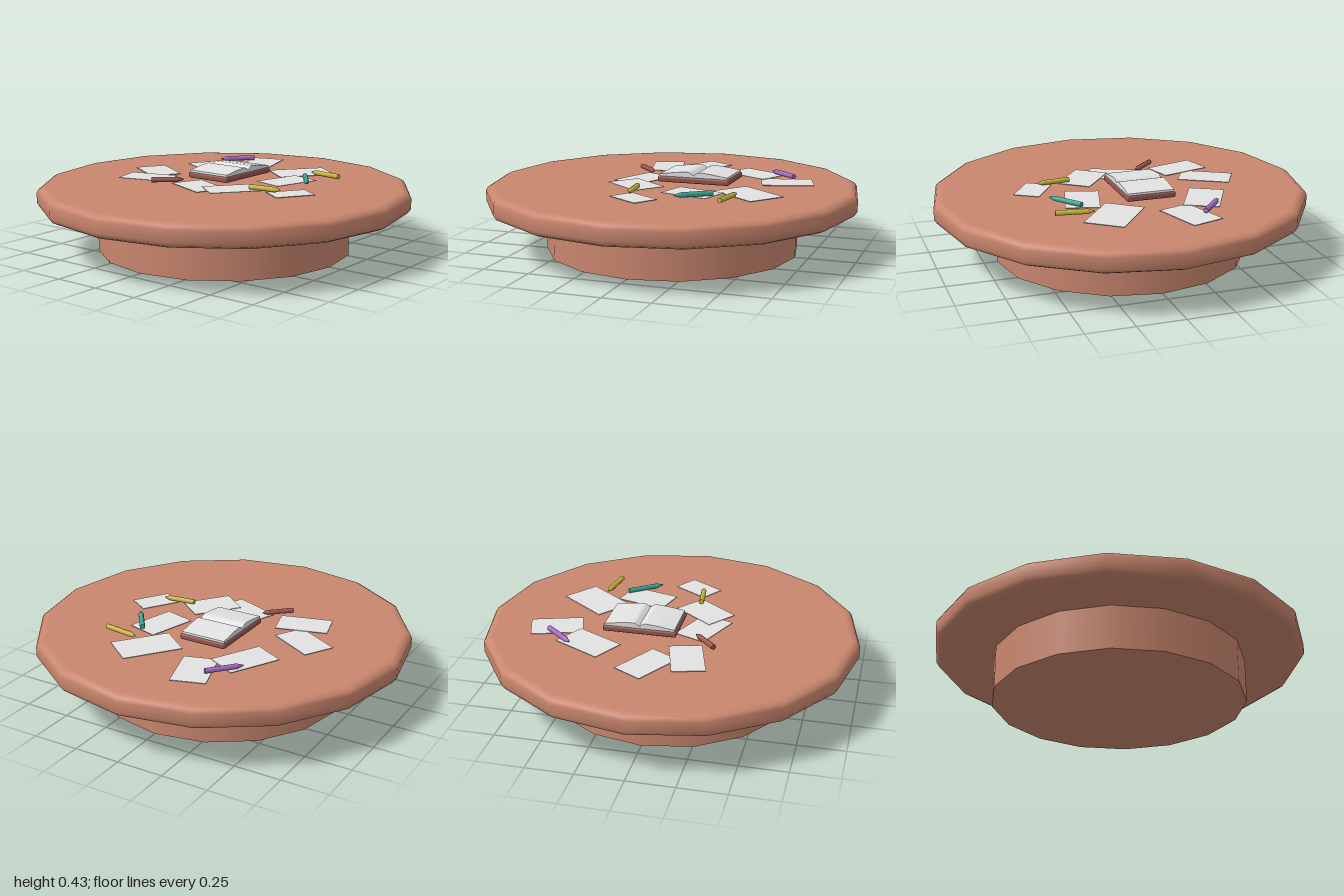
import * as THREE from 'three';
import { RoundedBoxGeometry } from 'three/addons/geometries/RoundedBoxGeometry.js';

const material = (name, color) => Object.assign(new THREE.MeshStandardMaterial({ color }), { name });

export function createModel() {
  const root = new THREE.Group();
  const wood = material('terracotta wood', 0xc9866e);
  const paper = material('paper', 0xe2e2e2);
  const leather = material('book cover', 0x92544f);
  const yellow = material('yellow', 0xc9b53c);
  const purple = material('purple', 0xa56cc4);
  const teal = material('teal', 0x3fa594);
  const red = material('brick red', 0x9c5850);

  const add = (name, geometry, mat, parent = root) => {
    const mesh = new THREE.Mesh(geometry, mat);
    mesh.name = name;
    parent.add(mesh);
    return mesh;
  };

  // Sixteen-sided table top with a rounded rim, on a drum base
  const profile = [
    [0, 0.233], [0.94, 0.233], [0.96, 0.235], [0.985, 0.247], [1, 0.27],
    [1, 0.325], [0.99, 0.343], [0.97, 0.354], [0.95, 0.356], [0, 0.356],
  ].map(([r, y]) => new THREE.Vector2(r, y));
  add('tableTop', new THREE.LatheGeometry(profile, 16), wood);
  add('tableBase', new THREE.CylinderGeometry(0.68, 0.68, 0.235, 16), wood).position.y = 0.1175;

  // Loose sheets: x, z, width, depth, turn
  const sheets = [
    [-0.18, -0.585, 0.18, 0.275, 0.303],
    [-0.34, -0.366, 0.185, 0.285, -0.49],
    [0.18, -0.47, 0.21, 0.315, -0.655],
    [0.267, -0.2, 0.178, 0.27, -0.27],
    [-0.49, -0.02, 0.278, 0.17, -0.52],
    [-0.397, 0.168, 0.278, 0.172, 0.27],
    [-0.03, 0.18, 0.28, 0.178, -0.39],
    [0.16, 0.15, 0.183, 0.267, -0.66],
    [0.465, 0.048, 0.14, 0.212, -0.57],
  ];
  sheets.forEach(([x, z, w, d, turn], i) => {
    const sheet = add('paperSheet', new THREE.BoxGeometry(w, 0.003, d), paper);
    sheet.position.set(x, 0.362 + (i % 2) * 0.004, z);
    sheet.rotation.y = turn;
  });

  // Open book: cover and two domed page halves meeting in a gutter
  const book = new THREE.Group();
  book.name = 'openBook';
  book.position.set(-0.066, 0.37, -0.133);
  root.add(book);
  add('bookCover', new RoundedBoxGeometry(0.265, 0.032, 0.395, 2, 0.01), leather, book).position.y = 0.015;
  const half = [[0.19, 0.028], [0.188, 0.041], [0.1, 0.054], [0.035, 0.06], [0.022, 0.057]];
  const pageShape = new THREE.Shape([
    ...half.map(([s, y]) => new THREE.Vector2(s, y)),
    new THREE.Vector2(0, 0.043),
    ...half.slice().reverse().map(([s, y]) => new THREE.Vector2(-s, y)),
  ]);
  const pages = new THREE.ExtrudeGeometry(pageShape, { depth: 0.25, bevelEnabled: false });
  pages.translate(0, 0, -0.125).rotateY(Math.PI / 2);
  add('bookPages', pages, paper, book);

  // Pencils: blunt end x, z, then point x, z
  const pencilProfile = [[0, 0], [0.014, 0], [0.014, 0], [0.014, 0.165], [0.014, 0.165], [0.003, 0.2], [0, 0.2]]
    .map(([r, y]) => new THREE.Vector2(r, y));
  const pencilShape = new THREE.LatheGeometry(pencilProfile, 8).rotateZ(-Math.PI / 2);
  const pencils = [
    [purple, -0.25, -0.605, -0.38, -0.455],
    [yellow, 0.467, -0.405, 0.272, -0.435],
    [teal, 0.305, -0.32, 0.428, -0.155],
    [yellow, 0.25, 0.107, 0.428, 0.087],
    [red, -0.275, 0.28, -0.15, 0.163],
  ];
  for (const [mat, x0, z0, x1, z1] of pencils) {
    const pencil = add('pencil', pencilShape, mat);
    pencil.position.set(x0, 0.381, z0);
    pencil.rotation.y = Math.atan2(z0 - z1, x1 - x0);
    pencil.scale.x = Math.hypot(x1 - x0, z1 - z0) / 0.2;
  }

  return root;
}
